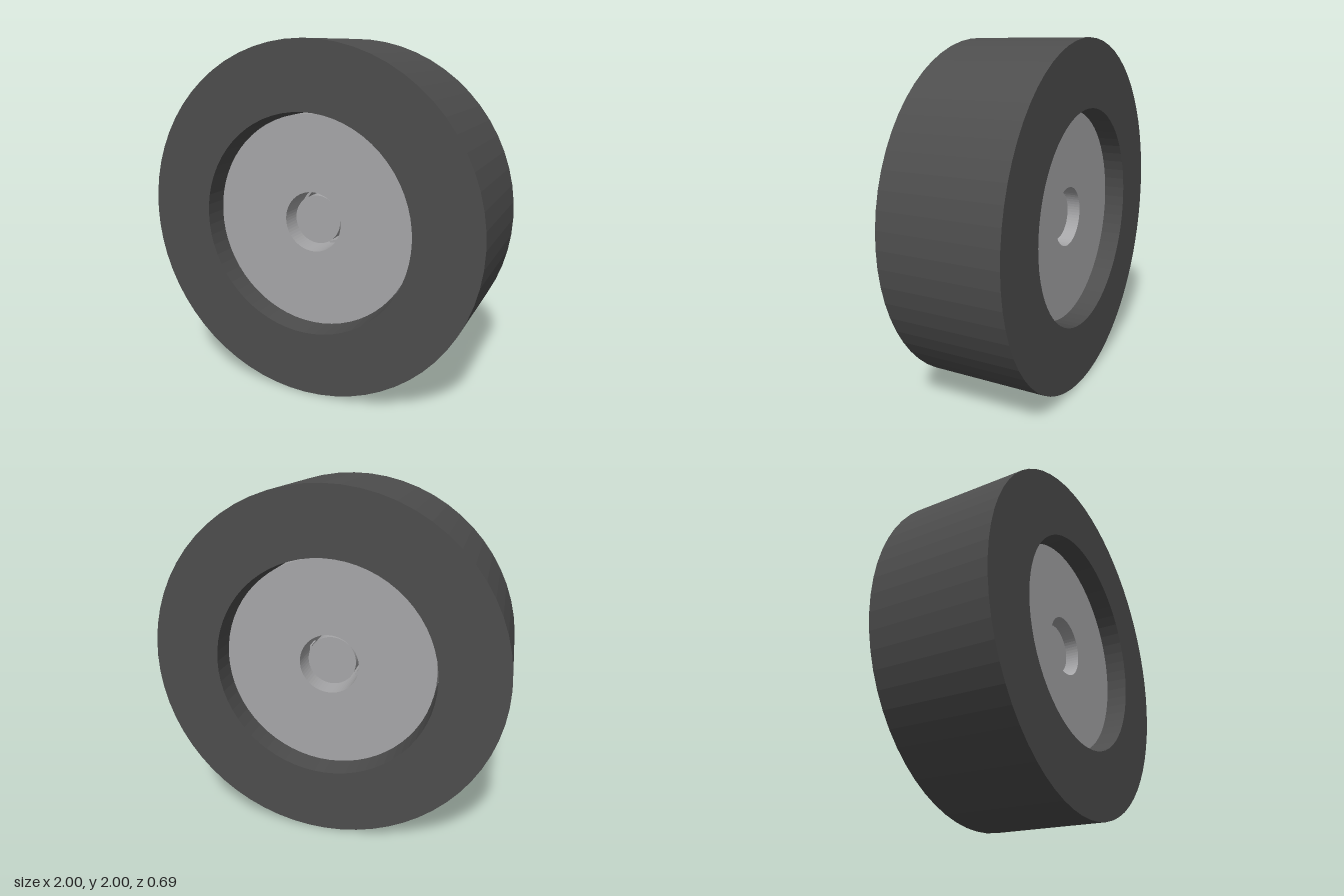
import * as THREE from 'three';

// Flat-sided ring (or disc, when inner is 0) along z, centred on the axle
function ring(name, outer, inner, depth, material) {
  const shape = new THREE.Shape().absarc(0, 0, outer, 0, Math.PI * 2, false);
  if (inner > 0) {
    shape.holes.push(new THREE.Path().absarc(0, 0, inner, 0, Math.PI * 2, true));
  }
  const geometry = new THREE.ExtrudeGeometry(shape, { depth, bevelEnabled: false, curveSegments: 32 });
  geometry.translate(0, 0, -depth / 2);
  const mesh = new THREE.Mesh(geometry, material);
  mesh.name = name;
  return mesh;
}

export function createModel() {
  const rubber = new THREE.MeshStandardMaterial({ color: 0x4d4d4d, flatShading: true });
  rubber.name = 'dark rubber';
  const metal = new THREE.MeshStandardMaterial({ color: 0xa6a6a8, flatShading: true });
  metal.name = 'grey metal';

  const wheel = new THREE.Group();
  wheel.name = 'wheel';
  wheel.position.y = 1;

  // Tyre, recessed rim with a bore, and the axle core inside the bore
  wheel.add(ring('tyre', 1, 0.625, 0.69, rubber));
  wheel.add(ring('rim', 0.607, 0.172, 0.454, metal));
  wheel.add(ring('axleCore', 0.14, 0, 0.326, metal));

  // Five spokes inside the rim, their ends just reaching into the bore
  for (let i = 0; i < 5; i++) {
    const spoke = new THREE.Group();
    spoke.name = 'spoke';
    spoke.rotation.z = (i * Math.PI * 2) / 5;
    const bar = new THREE.Mesh(new THREE.BoxGeometry(0.4, 0.075, 0.08), metal);
    bar.name = 'spokeBar';
    bar.position.x = 0.357;
    spoke.add(bar);
    wheel.add(spoke);
  }

  const model = new THREE.Group();
  model.name = 'wheelModel';
  model.add(wheel);
  return model;
}
